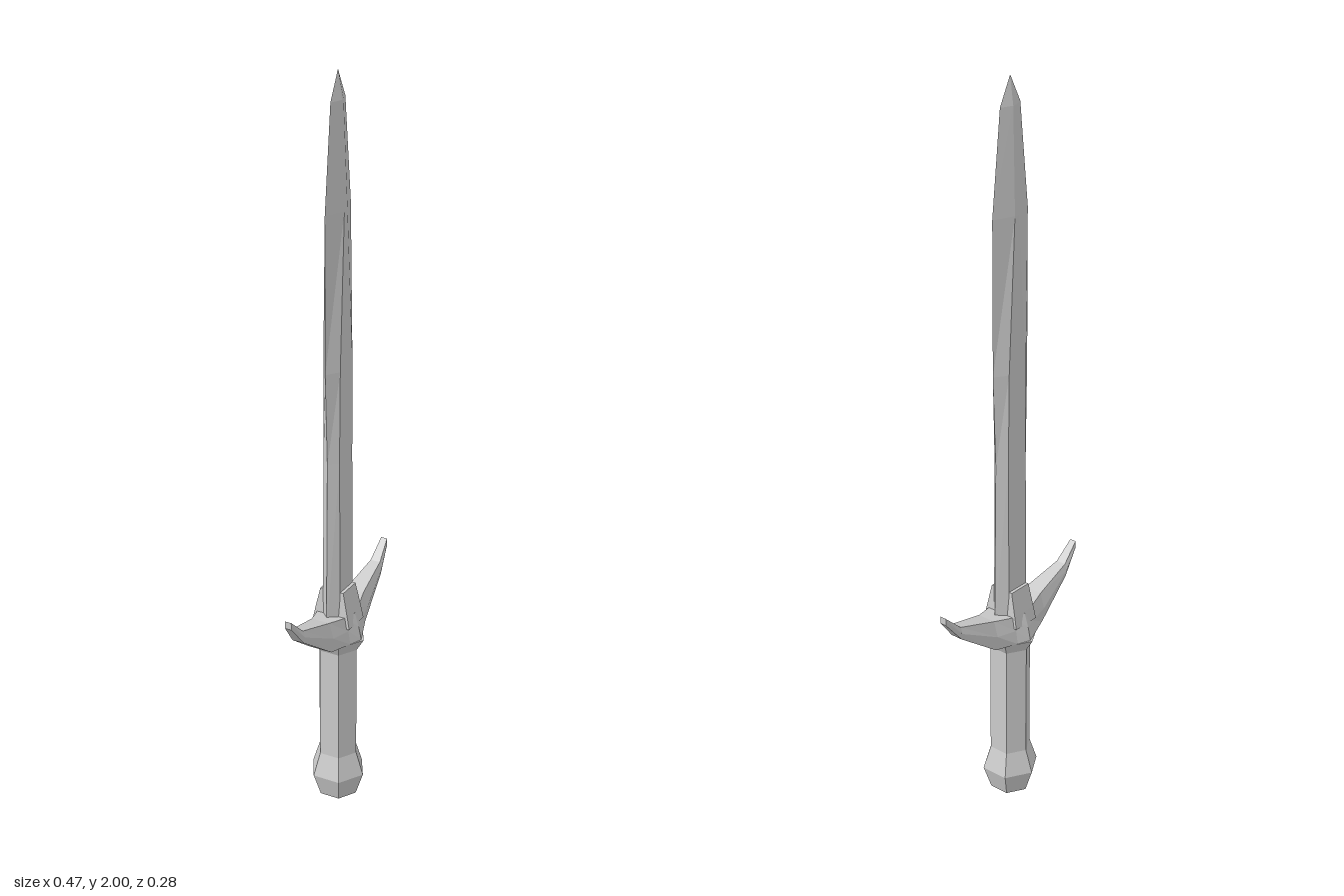
import * as THREE from 'three';

const material = new THREE.MeshStandardMaterial({ color: 0xcccccc, flatShading: true });

// Joins rings of points (counter-clockwise about the loft direction) and caps both ends.
function loft(rings) {
  const pos = [];
  const tri = (a, b, c) => pos.push(...a, ...b, ...c);
  const n = rings[0].length;
  for (let k = 0; k < rings.length - 1; k++) {
    const r = rings[k], s = rings[k + 1];
    for (let i = 0; i < n; i++) {
      const j = (i + 1) % n;
      tri(r[i], r[j], s[j]);
      tri(r[i], s[j], s[i]);
    }
  }
  const first = rings[0], last = rings[rings.length - 1];
  for (let i = 1; i < n - 1; i++) {
    tri(first[0], first[i + 1], first[i]);
    tri(last[0], last[i], last[i + 1]);
  }
  const geo = new THREE.BufferGeometry();
  geo.setAttribute('position', new THREE.Float32BufferAttribute(pos, 3));
  geo.computeVertexNormals();
  return geo;
}

export function createModel() {
  const sword = new THREE.Group();
  sword.name = 'sword';
  const add = (name, geo) => {
    const mesh = new THREE.Mesh(geo, material);
    mesh.name = name;
    sword.add(mesh);
  };

  // Six-sided pommel, grip and collar
  const turned = (name, points) => add(name,
    new THREE.LatheGeometry(points.map(([r, y]) => new THREE.Vector2(r, y)), 6));
  turned('pommel', [[0, 0], [0.055, 0], [0.077, 0.065], [0.056, 0.13], [0, 0.13]]);
  turned('grip', [[0.056, 0.13], [0.056, 0.45]]);
  turned('collar', [[0.056, 0.45], [0.077, 0.485], [0, 0.485]]);

  // Blade: bevelled hexagonal section [y, half width, half flat, half thickness]
  const blade = [
    [0.52, 0.063, 0.035, 0.026],
    [1.0, 0.056, 0.034, 0.023],
    [1.25, 0.066, 0.032, 0.024],
    [1.66, 0.066, 0.008, 0.022],
    [1.93, 0.037, 0.004, 0.013],
    [2.0, 0.001, 0.0005, 0.0005],
  ];
  add('blade', loft(blade.map(([y, w, f, t]) => [
    [-f, y, t], [f, y, t], [w, y, 0], [f, y, -t], [-f, y, -t], [-w, y, 0],
  ])));

  // Guard: upswept arms [x, top, bottom, top half depth, middle half depth, bottom half depth]
  const arm = [
    [0, 0.56, 0.485, 0.05, 0.062, 0.07],
    [0.035, 0.56, 0.485, 0.042, 0.05, 0.056],
    [0.095, 0.57, 0.485, 0.026, 0.038, 0.032],
    [0.212, 0.603, 0.568, 0.014, 0.02, 0.017],
    [0.263, 0.65, 0.63, 0.009, 0.0095, 0.009],
  ];
  const mirrored = arm.slice(1).reverse().map(([x, ...rest]) => [-x, ...rest]);
  add('guard', loft([...mirrored, ...arm].map(([x, top, bottom, a, b, c]) => {
    const mid = (top + bottom) / 2;
    return [[x, top, -a], [x, top, a], [x, mid, b], [x, bottom, c], [x, bottom, -c], [x, mid, -b]];
  })));

  // Small block that clasps the base of the blade
  const clasp = [[0.53, 0.04, 0.055], [0.565, 0.038, 0.048], [0.63, 0.034, 0.034]];
  add('bladeClasp', loft(clasp.map(([y, w, d]) => [[-w, y, d], [w, y, d], [w, y, -d], [-w, y, -d]])));

  // The whole sword is turned about its long axis
  sword.rotation.y = Math.PI / 6;
  const model = new THREE.Group();
  model.add(sword);
  return model;
}
